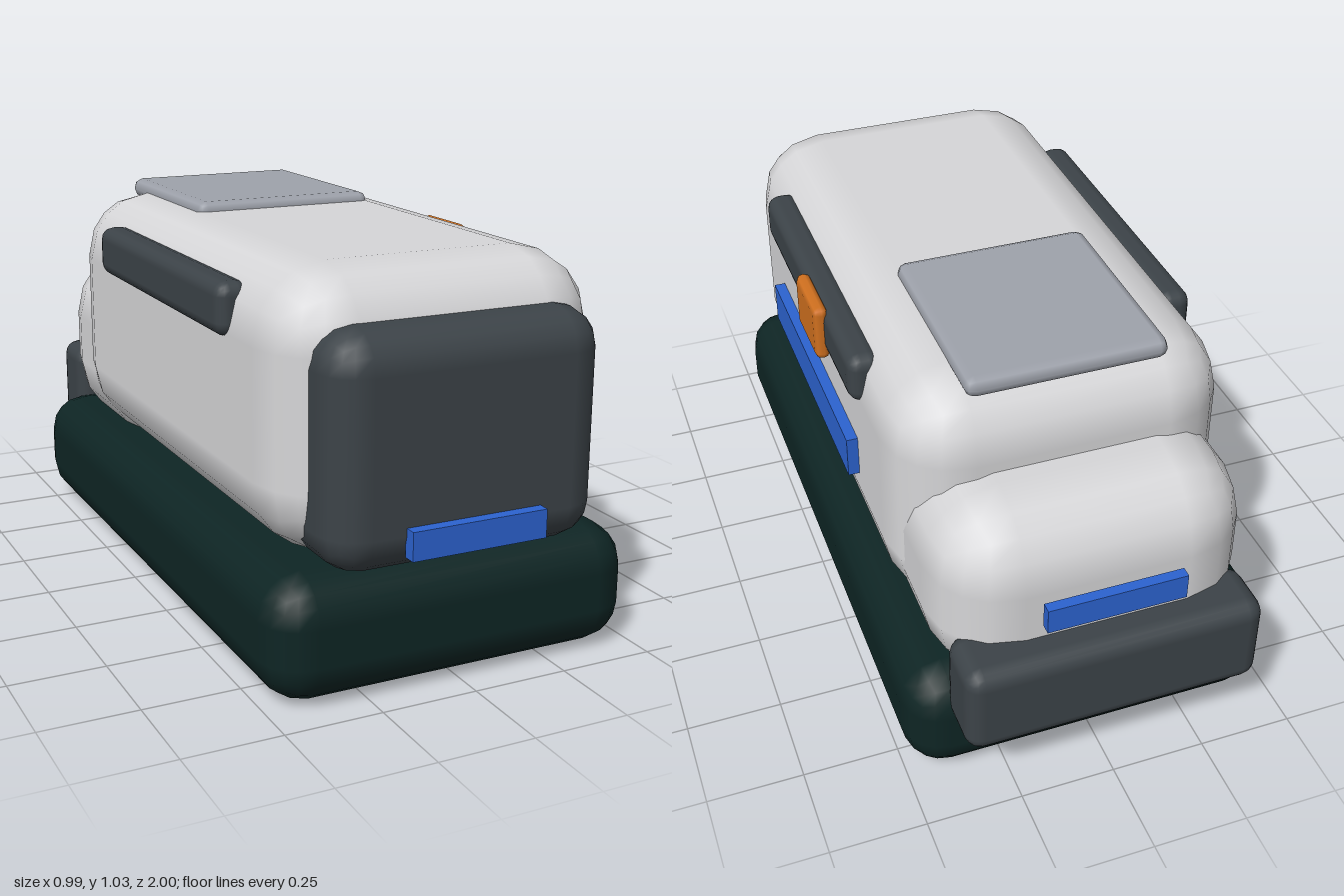
import * as THREE from 'three';
import { RoundedBoxGeometry } from 'three/addons/geometries/RoundedBoxGeometry.js';

function paint(name, color) {
  const m = new THREE.MeshStandardMaterial({ color });
  m.name = name;
  return m;
}

export function createModel() {
  const white = paint('shellWhite', 0xd6d6d8);
  const dark = paint('darkTrim', 0x3c4348);
  const base = paint('baseGreenBlack', 0x0e2524);
  const blue = paint('lightBlue', 0x2c63d0);
  const orange = paint('clipOrange', 0xd0701f);
  const grey = paint('panelGrey', 0x9ea2ab);

  const group = new THREE.Group();
  group.name = 'vehicle';

  // Box between two corners; a radius rounds its edges.
  function block(name, material, [x0, x1], [y0, y1], [z0, z1], radius = 0, segments = 2) {
    const w = x1 - x0, h = y1 - y0, d = z1 - z0;
    const geometry = radius
      ? new RoundedBoxGeometry(w, h, d, segments, radius)
      : new THREE.BoxGeometry(w, h, d);
    const mesh = new THREE.Mesh(geometry, material);
    mesh.name = name;
    mesh.position.set((x0 + x1) / 2, (y0 + y1) / 2, (z0 + z1) / 2);
    group.add(mesh);
  }

  // Main masses
  block('base', base, [-0.495, 0.495], [0, 0.315], [-0.88, 0.945], 0.11);
  block('cabin', white, [-0.44, 0.44], [0.3, 1.005], [-0.675, 0.88], 0.19);
  block('rearHousing', white, [-0.412, 0.412], [0.25, 0.79], [-0.91, -0.25], 0.2);
  block('frontWindow', dark, [-0.365, 0.365], [0.31, 0.89], [0.67, 0.97], 0.1);
  block('rearBumper', dark, [-0.39, 0.39], [0.2, 0.455], [-1, -0.82], 0.045);

  // Roof panel
  block('roofPanel', grey, [-0.26, 0.26], [0.975, 1.03], [-0.625, -0.06], 0.026, 1);

  // Side rails, mirrored
  block('leftRail', dark, [0.375, 0.465], [0.805, 0.94], [-0.335, 0.555], 0.035);
  block('rightRail', dark, [-0.465, -0.375], [0.805, 0.94], [-0.335, 0.555], 0.035);

  // Clip on the left rail
  block('railClip', orange, [0.45, 0.49], [0.79, 0.945], [-0.095, 0.105], 0.018, 1);

  // Blue strips
  block('frontStrip', blue, [-0.18, 0.18], [0.358, 0.43], [0.965, 1]);
  block('rearStrip', blue, [-0.18, 0.18], [0.518, 0.588], [-0.962, -0.934]);
  block('sideStrip', blue, [0.435, 0.47], [0.545, 0.66], [-0.28, 0.505]);

  return group;
}
